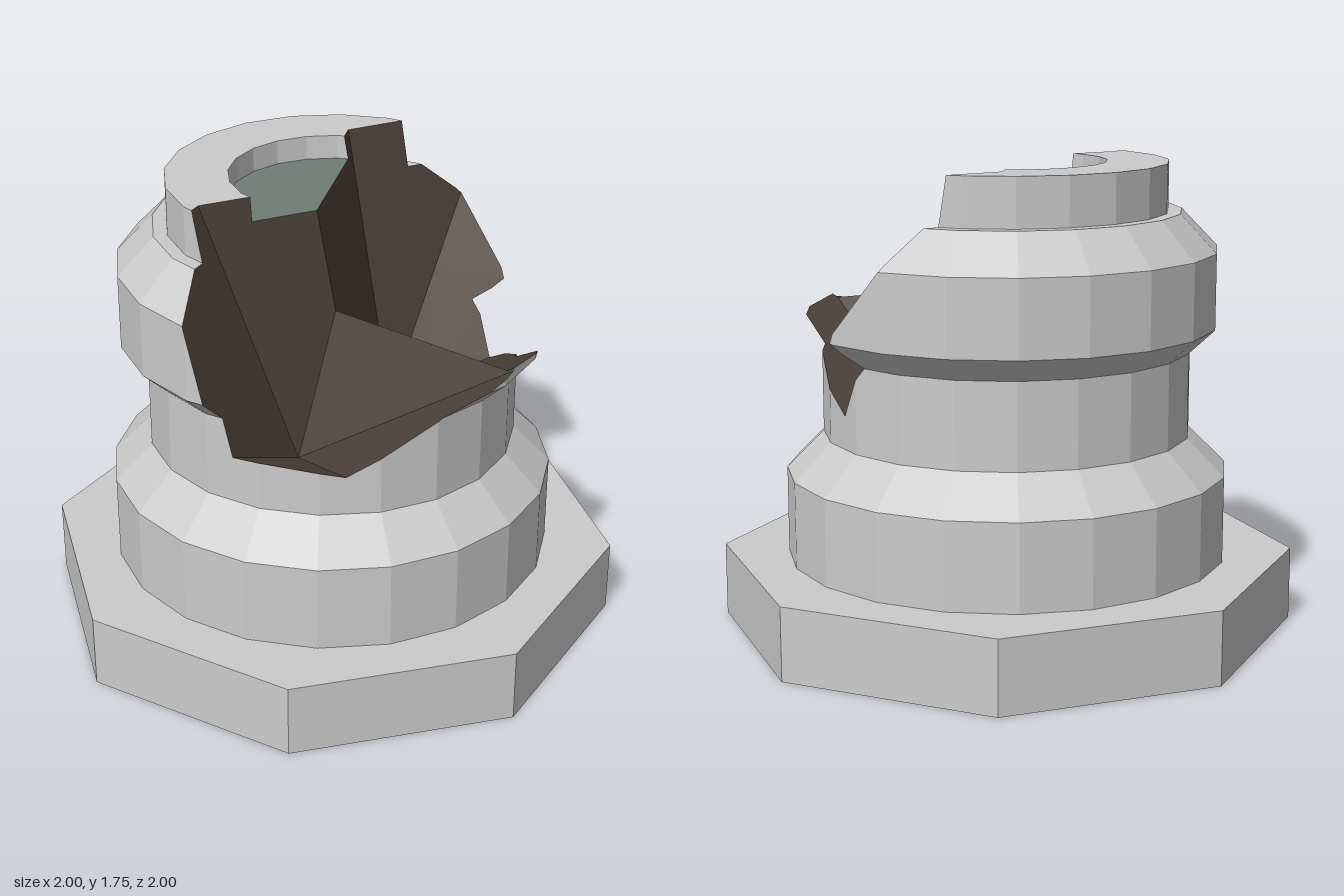
import * as THREE from 'three';

const EPS = 1e-5;
const V = (x, y, z) => new THREE.Vector3(x, y, z);

// Splits a polygon by a plane into its outer and inner pieces.
function split(poly, plane) {
  const d = poly.map((p) => plane.distanceToPoint(p));
  if (!d.some((k) => k > EPS)) return [null, poly];
  if (!d.some((k) => k < -EPS)) return [poly, null];
  const outer = [], inner = [];
  poly.forEach((p, i) => {
    const j = (i + 1) % poly.length;
    if (d[i] > -EPS) outer.push(p);
    if (d[i] < EPS) inner.push(p);
    if ((d[i] > EPS && d[j] < -EPS) || (d[i] < -EPS && d[j] > EPS)) {
      const cut = p.clone().lerp(poly[j], d[i] / (d[i] - d[j]));
      outer.push(cut);
      inner.push(cut);
    }
  });
  return [outer, inner];
}

// Part of a polygon inside a convex solid (a list of outward planes).
function inside(poly, solid) {
  for (const plane of solid) {
    if (poly) poly = split(poly, plane)[1];
  }
  return poly ? [poly] : [];
}

// Parts of a polygon outside a convex solid.
function outside(poly, solid) {
  const kept = [];
  for (const plane of solid) {
    const [outer, inner] = split(poly, plane);
    if (outer) kept.push(outer);
    if (!inner) return kept;
    poly = inner;
  }
  return kept;
}

const outsideAll = (polys, solids) =>
  solids.reduce((list, s) => list.flatMap((p) => outside(p, s)), polys);

// The face of a convex solid that lies on one of its planes.
function face(solid, plane) {
  const n = plane.normal;
  const u = (Math.abs(n.y) > 0.9 ? V(1, 0, 0) : V(0, 1, 0)).cross(n).normalize();
  const v = n.clone().cross(u);
  const c = n.clone().multiplyScalar(-plane.constant);
  const quad = [[-1, -1], [1, -1], [1, 1], [-1, 1]].map(([a, b]) =>
    c.clone().addScaledVector(u, a * 6).addScaledVector(v, b * 6));
  return inside(quad, solid.filter((p) => p !== plane));
}

// Plane through three points, facing away from a point within the solid.
function planeAway(a, b, c, core) {
  const plane = new THREE.Plane().setFromCoplanarPoints(a, b, c);
  return plane.distanceToPoint(core) > 0 ? plane.negate() : plane;
}

// Tapered prism; its first two planes are the bottom and the top.
function drum(sides, r0, y0, r1, y1, turn = 0) {
  const core = V(0, (y0 + y1) / 2, 0);
  const planes = [new THREE.Plane(V(0, -1, 0), y0), new THREE.Plane(V(0, 1, 0), -y1)];
  const at = (i, r, y) => {
    const a = ((i + turn) / sides) * Math.PI * 2;
    return V(r * Math.sin(a), y, r * Math.cos(a));
  };
  for (let i = 0; i < sides; i++) {
    planes.push(planeAway(at(i, r0, y0), at(i + 1, r0, y0), at(i, r1, y1), core));
  }
  return planes;
}

// Open faceted cone that breaks stone away, from its deepest point outwards.
function chip(apex, rays) {
  const tips = rays.map((r) => apex.clone().add(V(...r)));
  const core = tips.reduce((s, t) => s.add(t), V(0, 0, 0)).divideScalar(tips.length);
  return tips.map((t, i) => planeAway(apex, t, tips[(i + 1) % tips.length], core));
}

function meshOf(name, polys, color) {
  const pos = [];
  for (const p of polys) {
    for (let i = 1; i < p.length - 1; i++) {
      for (const q of [p[0], p[i], p[i + 1]]) pos.push(q.x, q.y, q.z);
    }
  }
  const geo = new THREE.BufferGeometry();
  geo.setAttribute('position', new THREE.Float32BufferAttribute(pos, 3));
  geo.computeVertexNormals();
  const mesh = new THREE.Mesh(geo, new THREE.MeshStandardMaterial({ color, flatShading: true }));
  mesh.name = name;
  return mesh;
}

export function createModel() {
  const group = new THREE.Group();
  group.name = 'brokenColumn';
  const GREY = 0xcccccc, BROKEN = 0x4f423c, FLOOR = 0x6f7d76;

  // Stacked stone courses, bottom to top
  const courses = {
    plinth: drum(8, 1.0824, 0, 1.0824, 0.275, 0.5),
    lowerDrum: drum(20, 0.83, 0.275, 0.83, 0.6),
    lowerSlope: drum(20, 0.83, 0.6, 0.69, 0.74),
    neck: drum(20, 0.69, 0.74, 0.69, 1.06),
    collarUnderside: drum(20, 0.69, 1.06, 0.785, 1.15),
    collar: drum(20, 0.785, 1.15, 0.785, 1.43),
    collarSlope: drum(20, 0.785, 1.43, 0.65, 1.57),
    rim: drum(20, 0.6, 1.57, 0.6, 1.75),
  };
  const stones = Object.values(courses);

  // Round recess in the top and the two broken-away corners
  const recess = drum(20, 0.37, 1.66, 0.37, 1.9);
  const frontChip = chip(V(-0.18, 0.72, 0.21), [
    [0.16, 0.55, -0.07], [-0.34, 1.03, -0.02], [-0.31, 0.2, 0.28],
    [0.06, 0.17, 0.47], [0.68, 0.46, 0.38],
  ]);
  const sideChip = chip(V(0.31, 0.65, -0.27), [
    [-0.33, 0.62, 0.41], [-0.14, 1.1, -0.13], [0.33, 0.78, -0.18],
    [0.37, 0.22, 0.15], [0.16, 0.48, 0.77],
  ]);
  const cutters = [recess, frontChip, sideChip];

  // Outer faces of every course
  for (const [name, stone] of Object.entries(courses)) {
    const others = stones.filter((s) => s !== stone);
    const faces = stone.flatMap((plane) => face(stone, plane));
    group.add(meshOf(name, outsideAll(faces, [...others, ...cutters]), GREY));
  }

  // Faces left behind by a cutter, turned to look into the gap
  const cutFaces = (cutter, planes) => {
    const faces = planes.flatMap((plane) => face(cutter, plane))
      .flatMap((f) => stones.flatMap((s) => inside(f, s)));
    return outsideAll(faces, cutters.filter((c) => c !== cutter)).map((f) => [...f].reverse());
  };
  group.add(meshOf('recessWall', cutFaces(recess, recess.slice(2)), GREY));
  group.add(meshOf('recessFloor', cutFaces(recess, [recess[0]]), FLOOR));
  group.add(meshOf('frontBreak', cutFaces(frontChip, frontChip), BROKEN));
  group.add(meshOf('sideBreak', cutFaces(sideChip, sideChip), BROKEN));
  return group;
}
